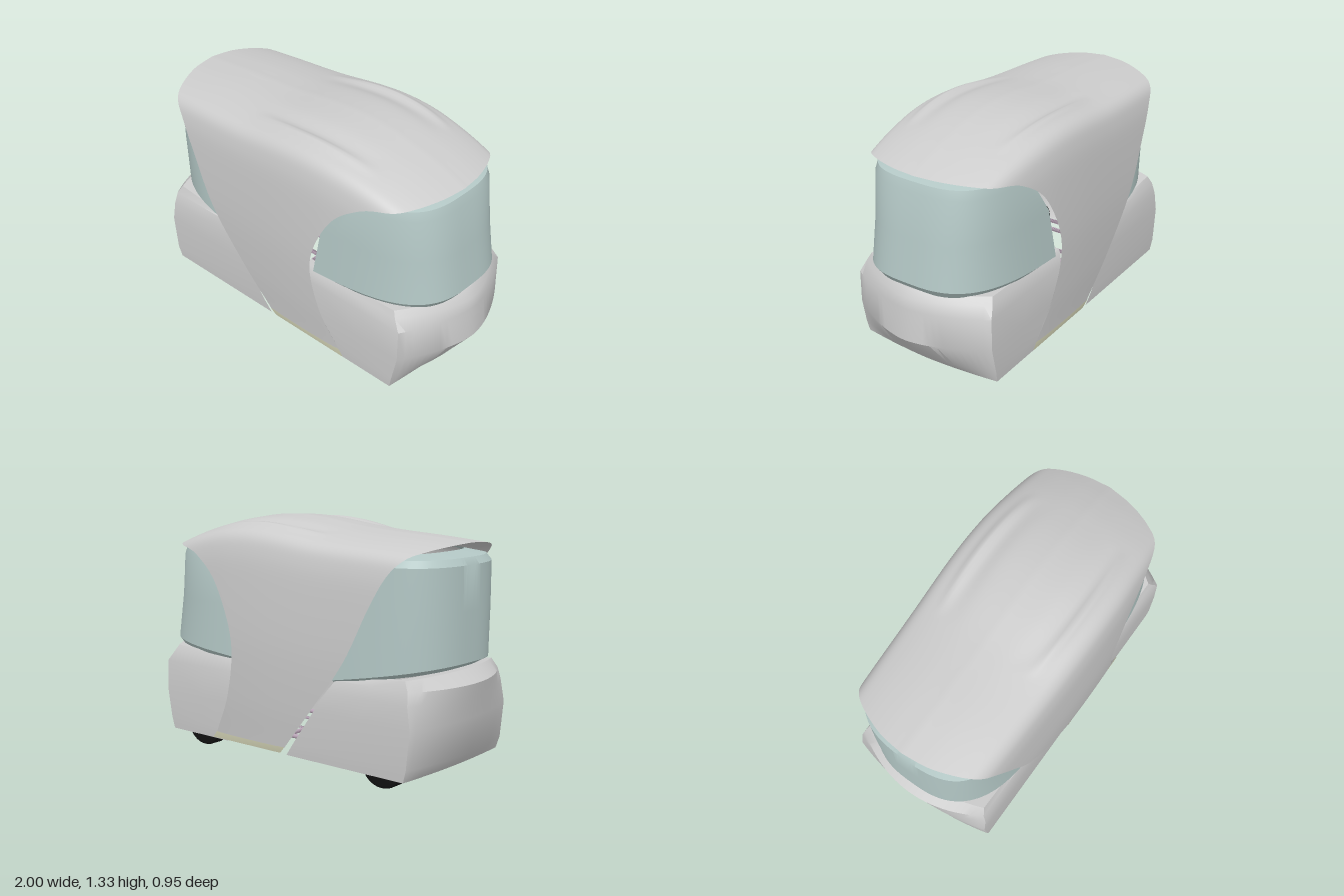
import * as THREE from 'three';
import { toCreasedNormals } from 'three/addons/utils/BufferGeometryUtils.js';

const mat = (color) => new THREE.MeshStandardMaterial({ color, side: THREE.DoubleSide });
const GREY = mat(0xcccccc), GLASS = mat(0xb3c7c5), BLACK = mat(0x141414);
const TUBE = mat(0xbba6b9), SILL = mat(0xcfcfb2);

// Smooth interpolation through [x, y] points
function curve(pts) {
  const n = pts.length;
  const slope = (i) => {
    const a = pts[Math.max(i - 1, 0)], b = pts[Math.min(i + 1, n - 1)];
    return (b[1] - a[1]) / (b[0] - a[0]);
  };
  return (x) => {
    let i = 0;
    while (i < n - 2 && x > pts[i + 1][0]) i++;
    const [x0, y0] = pts[i], [x1, y1] = pts[i + 1], h = x1 - x0;
    const t = THREE.MathUtils.clamp((x - x0) / h, 0, 1), t2 = t * t, t3 = t2 * t;
    return (2 * t3 - 3 * t2 + 1) * y0 + (t3 - 2 * t2 + t) * h * slope(i)
      + (3 * t2 - 2 * t3) * y1 + (t3 - t2) * h * slope(i + 1);
  };
}
const listCurve = (values) => curve(values.map((v, i) => [i, v]));

// Skin a list of equal-length rows of [x, y, z] points
function skin(rows) {
  const n = rows[0].length, index = [];
  for (let i = 0; i < rows.length - 1; i++) {
    for (let j = 0; j < n - 1; j++) {
      const a = i * n + j, b = a + n;
      index.push(a, a + 1, b, b, a + 1, b + 1);
    }
  }
  const g = new THREE.BufferGeometry();
  g.setAttribute('position', new THREE.Float32BufferAttribute(rows.flat(2), 3));
  g.setIndex(index);
  g.computeVertexNormals();
  return g;
}

function add(group, name, geometry, material, x = 0, y = 0, z = 0) {
  const m = new THREE.Mesh(geometry, material);
  m.name = name;
  m.position.set(x, y, z);
  group.add(m);
}

// Roof and side saddle: section, height, width and the two cut edges
const secZ = listCurve([0.92, 0.97, 1, 0.985, 0.95, 0.87, 0.68, 0.35, 0]);
const secY = listCurve([0, 0.2, 0.45, 0.7, 0.85, 0.93, 0.965, 0.99, 1]);
const rearEdge = listCurve([-0.085, -0.28, -0.5, -0.645, -0.74, -0.82, -0.88, -0.935, -0.955]);
const frontEdge = listCurve([0.43, 0.31, 0.265, 0.385, 0.56, 0.73, 0.8, 0.85, 0.87]);
const roofY = curve([[-0.96, 1.24], [-0.7, 1.26], [-0.3, 1.285], [0, 1.322], [0.2, 1.332],
  [0.4, 1.315], [0.6, 1.27], [0.75, 1.22], [0.87, 1.17]]);
const roofW = curve([[-0.96, 0.43], [-0.8, 0.44], [-0.5, 0.455], [0, 0.475], [0.3, 0.474],
  [0.5, 0.46], [0.7, 0.44], [0.87, 0.42]]);

// inset > 0 gives the inner lining, which tapers to meet the shell at its edges
function shellGeometry(inset) {
  const rows = [], bell = (d, s) => Math.exp(-((d / s) ** 2));
  for (let i = 0; i <= 128; i++) {
    const s = i / 8 - 8, t = 8 - Math.abs(s), row = [];
    for (let j = 0; j <= 70; j++) {
      const v = j / 70, x = THREE.MathUtils.lerp(rearEdge(t), frontEdge(t), v);
      const thick = inset * Math.min(1, 16 * v, 16 * (1 - v));
      const z = secZ(t) * (roofW(x) - thick);
      // raised roof ridge with a groove on its inner side
      const fade = Math.max(0, 1 - ((x - 0.14) / 0.42) ** 2);
      const line = 0.315 - 0.03 * (1 - fade);
      const ridge = t > 4.5 ? fade * (0.018 * bell(z - line, 0.025) - 0.012 * bell(z - line + 0.06, 0.045)) : 0;
      row.push([x, 0.125 + (roofY(x) - thick - 0.125) * secY(t) + ridge, z * (s < 0 ? 1 : -1)]);
    }
    rows.push(row);
  }
  return skin(rows);
}

// Height rises towards the end of the vehicle by the row's slope
const lift = (y, slope, x) => y + slope * (x - 0.27) / 0.7;

// Lower body: straight sides, hard corners, bowed end. Row: y, nose, corner, half width, slope
function bodyGeometry(dir, rows, tail, bow) {
  return toCreasedNormals(skin(rows.map(([y, nose, corner, w, slope = 0]) => {
    const pts = [], side = [tail(y), (tail(y) + corner) / 2];
    const put = (x, z) => pts.push([dir * x, lift(y, slope, x), z]);
    side.forEach((x) => put(x, w));
    for (let k = -12; k <= 12; k++) put(nose - (nose - corner) * Math.abs(k / 12) ** bow, -w * k / 12);
    side.reverse().forEach((x) => put(x, -w));
    return pts;
  })), 0.6);
}

// Wraparound window: half superellipse at each height. Row: y, nose, half width, slope
function glassGeometry(dir, rows, tail, power) {
  return toCreasedNormals(skin(rows.map(([y, nose, w, slope = 0]) => {
    const pts = [], x0 = tail(y);
    for (let k = -32; k <= 32; k++) {
      const a = (k / 64) * Math.PI;
      const x = x0 + (nose - x0) * Math.max(0, Math.cos(a)) ** (2 / power);
      const z = -Math.sign(k) * w * Math.abs(Math.sin(a)) ** (2 / power);
      pts.push([dir * x, lift(y, slope, x), z]);
    }
    return pts;
  })), 0.6);
}

// Tyre with rounded shoulders and tread grooves, axle along z
function wheelGeometry() {
  const p = [[0.001, -0.05], [0.115, -0.05], [0.13, -0.042]];
  for (const z of [-0.024, 0, 0.024]) {
    p.push([0.134, z - 0.008], [0.129, z - 0.004], [0.129, z + 0.004], [0.134, z + 0.008]);
  }
  p.push([0.13, 0.042], [0.115, 0.05], [0.001, 0.05]);
  const g = new THREE.LatheGeometry(p.map(([r, z]) => new THREE.Vector2(r, z)), 40);
  return toCreasedNormals(g.rotateX(Math.PI / 2), 0.5);
}

function tube(group, name, pts) {
  const path = new THREE.CatmullRomCurve3(pts.map((p) => new THREE.Vector3(...p)), false, 'catmullrom', 0.2);
  add(group, name, new THREE.TubeGeometry(path, pts.length > 2 ? 40 : 1, 0.013, 8), TUBE);
}

export function createModel() {
  const model = new THREE.Group();
  model.name = 'shuttle';

  add(model, 'roofAndSideShell', shellGeometry(0), GREY);
  add(model, 'shellLining', shellGeometry(0.022), GREY);

  // lower body modules
  add(model, 'noseBody', bodyGeometry(1, [
    [0.085, 0.82, 0.785, 0.425], [0.15, 0.89, 0.8, 0.43], [0.3, 1.0, 0.83, 0.427],
    [0.48, 0.985, 0.83, 0.425], [0.54, 0.975, 0.79, 0.405], [0.56, 0.94, 0.77, 0.39, 0.02],
    [0.56, 0.86, 0.7, 0.35, 0.02],
  ], (y) => 0.38 - 0.4 * y, 1.7), GREY);
  add(model, 'tailBody', bodyGeometry(-1, [
    [0.085, 0.88, 0.86, 0.425], [0.15, 0.935, 0.88, 0.43], [0.35, 0.967, 0.9, 0.43],
    [0.47, 0.987, 0.88, 0.425], [0.535, 0.998, 0.87, 0.408], [0.53, 0.92, 0.84, 0.39, 0.07],
    [0.53, 0.85, 0.78, 0.35, 0.07],
  ], (y) => 0.03 + 0.72 * y, 2), GREY);

  // windows
  add(model, 'frontWindow', glassGeometry(1, [
    [0.55, 0.925, 0.405, 0.02], [0.565, 0.957, 0.425, 0.05], [0.85, 0.922, 0.405],
    [1.09, 0.888, 0.385], [1.14, 0.87, 0.365], [1.16, 0.8, 0.3],
  ], curve([[0.55, 0.24], [0.75, 0.25], [1, 0.36], [1.16, 0.5]]), 3), GLASS);
  add(model, 'rearWindow', glassGeometry(-1, [
    [0.5, 0.9, 0.4, 0.115], [0.51, 0.962, 0.42, 0.13], [0.9, 0.96, 0.4],
    [1.13, 0.955, 0.38], [1.165, 0.93, 0.35], [1.185, 0.8, 0.27],
  ], curve([[0.5, 0.4], [0.85, 0.53], [1.19, 0.66]]), 2.7), GLASS);

  // wheels, sills and chassis frame
  const wheel = wheelGeometry(), chassis = new THREE.Group();
  chassis.name = 'chassis';
  model.add(chassis);
  for (const side of [-1, 1]) {
    for (const x of [-0.67, 0.615]) add(model, 'wheel', wheel, BLACK, x, 0.135, side * 0.31);
    add(model, 'sill', skin([
      [[-0.05, 0.09, side * 0.43], [-0.085, 0.127, side * 0.437]],
      [[0.46, 0.09, side * 0.43], [0.43, 0.127, side * 0.43]],
    ]), SILL);
    tube(chassis, 'outerRail', [[-0.5, 0.3, side * 0.24], [-0.48, 0.14, side * 0.24],
      [0.4, 0.14, side * 0.24], [0.44, 0.3, side * 0.24]]);
    tube(chassis, 'innerRail', [[-0.45, 0.14, side * 0.09], [0.36, 0.14, side * 0.09]]);
  }
  for (const x of [-0.45, -0.2, 0.05, 0.36]) tube(chassis, 'crossTube', [[x, 0.14, -0.25], [x, 0.14, 0.25]]);
  for (const x of [-0.67, 0.615]) tube(chassis, 'axle', [[x, 0.135, -0.3], [x, 0.135, 0.3]]);
  for (const x of [-0.5, 0.44]) tube(chassis, 'upperCrossTube', [[x, 0.3, -0.24], [x, 0.3, 0.24]]);

  return model;
}
